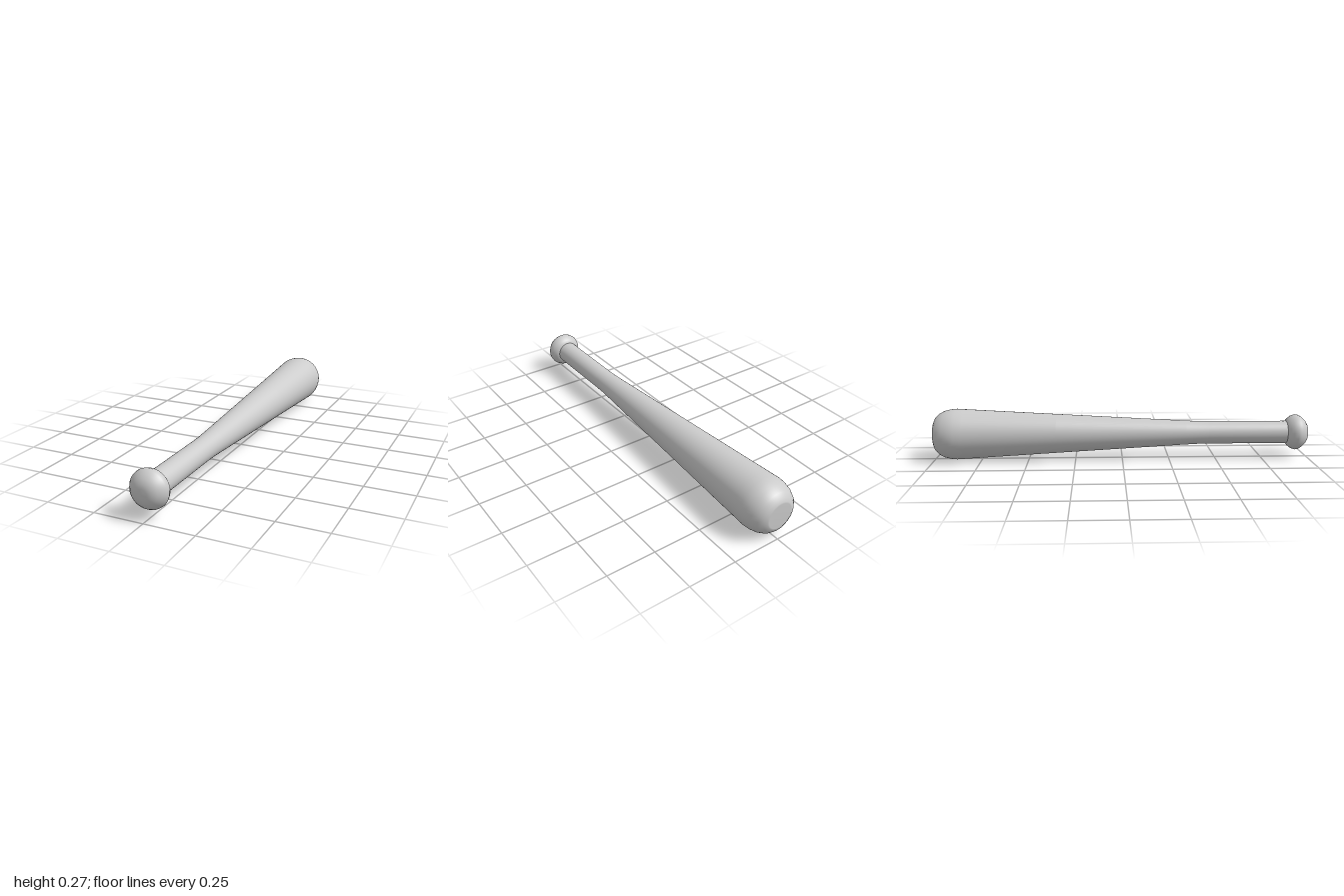
import * as THREE from 'three';

const AXIS_HEIGHT = 0.136;

// Turns a [radius, z] profile, listed from back to front, around the z axis.
function turned(name, profile, material) {
  const points = profile.map(([r, z]) => new THREE.Vector2(r, z));
  const mesh = new THREE.Mesh(new THREE.LatheGeometry(points, 64).rotateX(Math.PI / 2), material);
  mesh.name = name;
  return mesh;
}

export function createModel() {
  const group = new THREE.Group();
  group.name = 'bat';
  const material = new THREE.MeshStandardMaterial({ color: 0xcccccc });

  // Barrel: flat end, rounded shoulder, long straight taper
  const barrel = turned('barrel', [
    [0, -1], [0.066, -1], [0.073, -0.998], [0.09, -0.99], [0.109, -0.972],
    [0.124, -0.943], [0.132, -0.91], [0.135, -0.88], [0.1325, -0.84],
    [0.104, -0.35], [0.0645, 0.34], [0.061, 0.41], [0.06, 0.46],
  ], material);

  // Handle: plain cylinder running into the knob
  const handle = turned('handle', [[0.06, 0.46], [0.06, 0.9]], material);

  // Knob: rounded cap at the end of the grip
  const knob = turned('knob', [
    [0.05, 0.884], [0.064, 0.885], [0.076, 0.896], [0.088, 0.912], [0.095, 0.932],
    [0.092, 0.949], [0.081, 0.967], [0.066, 0.983], [0.046, 0.995], [0.024, 0.999], [0, 1],
  ], material);

  group.add(barrel, handle, knob);
  group.children.forEach((part) => { part.position.y = AXIS_HEIGHT; });
  return group;
}
